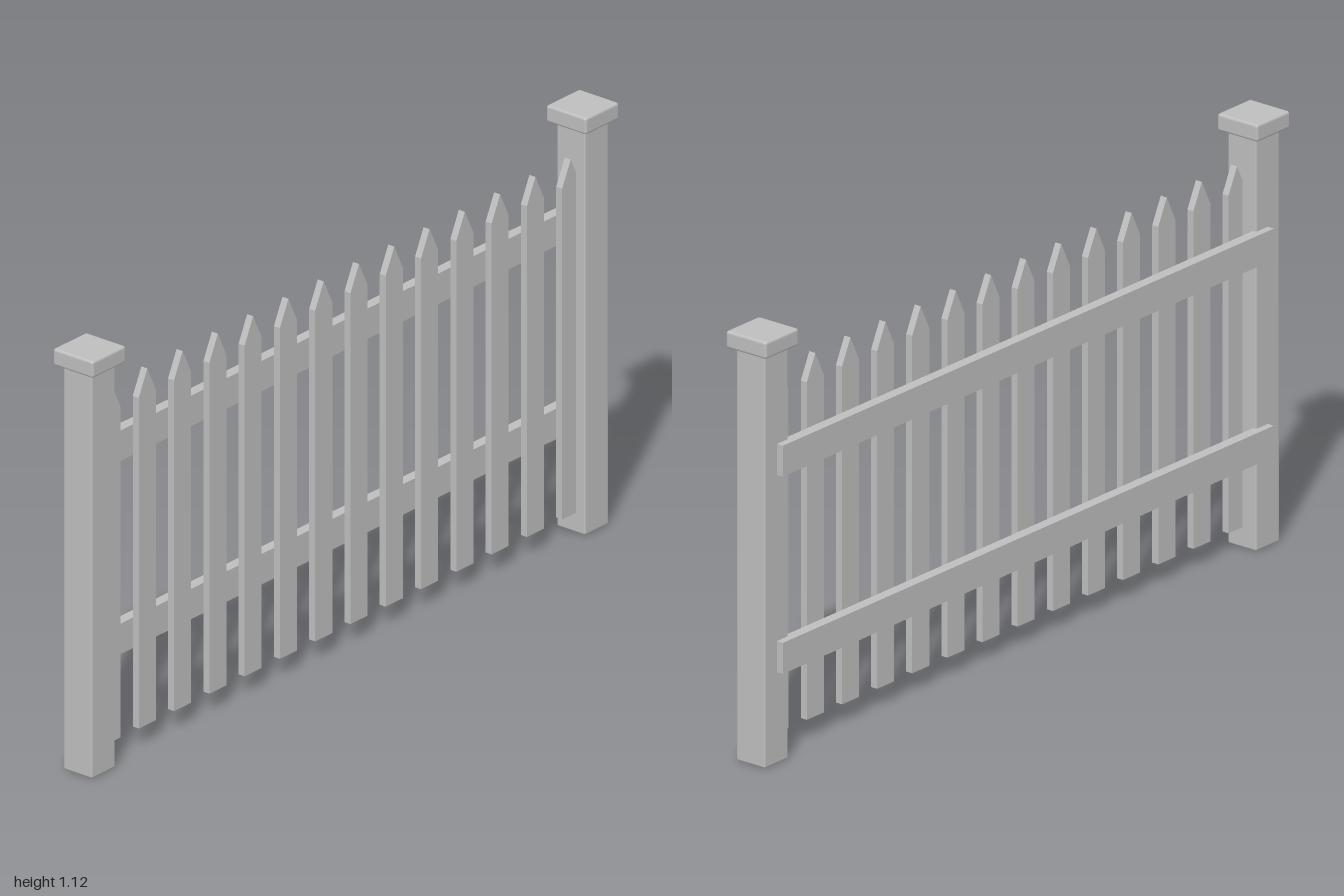
import * as THREE from 'three';
import { RoundedBoxGeometry } from 'three/addons/geometries/RoundedBoxGeometry.js';

export function createModel() {
  const group = new THREE.Group();
  group.name = 'picketFence';
  const grey = new THREE.MeshStandardMaterial({ color: 0xbebebe });
  grey.name = 'fence grey';

  const add = (name, geometry, x, y, z) => {
    const mesh = new THREE.Mesh(geometry, grey);
    mesh.name = name;
    mesh.position.set(x, y, z);
    group.add(mesh);
  };

  // End posts with softened edges and wider caps
  const postGeometry = new RoundedBoxGeometry(0.09, 1.076, 0.09, 2, 0.005);
  const capGeometry = new RoundedBoxGeometry(0.127, 0.045, 0.127, 2, 0.007);
  for (const [side, sign] of [['left', 1], ['right', -1]]) {
    add(side + 'Post', postGeometry, sign * 0.9365, 0.538, 0);
    add(side + 'PostCap', capGeometry, sign * 0.9365, 1.0985, 0);
  }

  // Two horizontal rails set into the back of the posts
  const railGeometry = new THREE.BoxGeometry(1.872, 0.081, 0.029);
  add('lowerRail', railGeometry, 0, 0.279, -0.0495);
  add('upperRail', railGeometry, 0, 0.793, -0.0495);

  // Pointed pickets, evenly spaced; the outer ones tuck into the posts
  const halfWidth = 0.0325;
  const outline = new THREE.Shape([
    new THREE.Vector2(-halfWidth, 0.053),
    new THREE.Vector2(halfWidth, 0.053),
    new THREE.Vector2(halfWidth, 0.933),
    new THREE.Vector2(0, 1.0),
    new THREE.Vector2(-halfWidth, 0.933),
  ]);
  const picketGeometry = new THREE.ExtrudeGeometry(outline, { depth: 0.019, bevelEnabled: false });
  const count = 14;
  const spacing = 0.134;
  for (let i = 0; i < count; i++) {
    add('picket' + (i + 1), picketGeometry, (i - (count - 1) / 2) * spacing, 0, -0.002);
  }
  return group;
}
